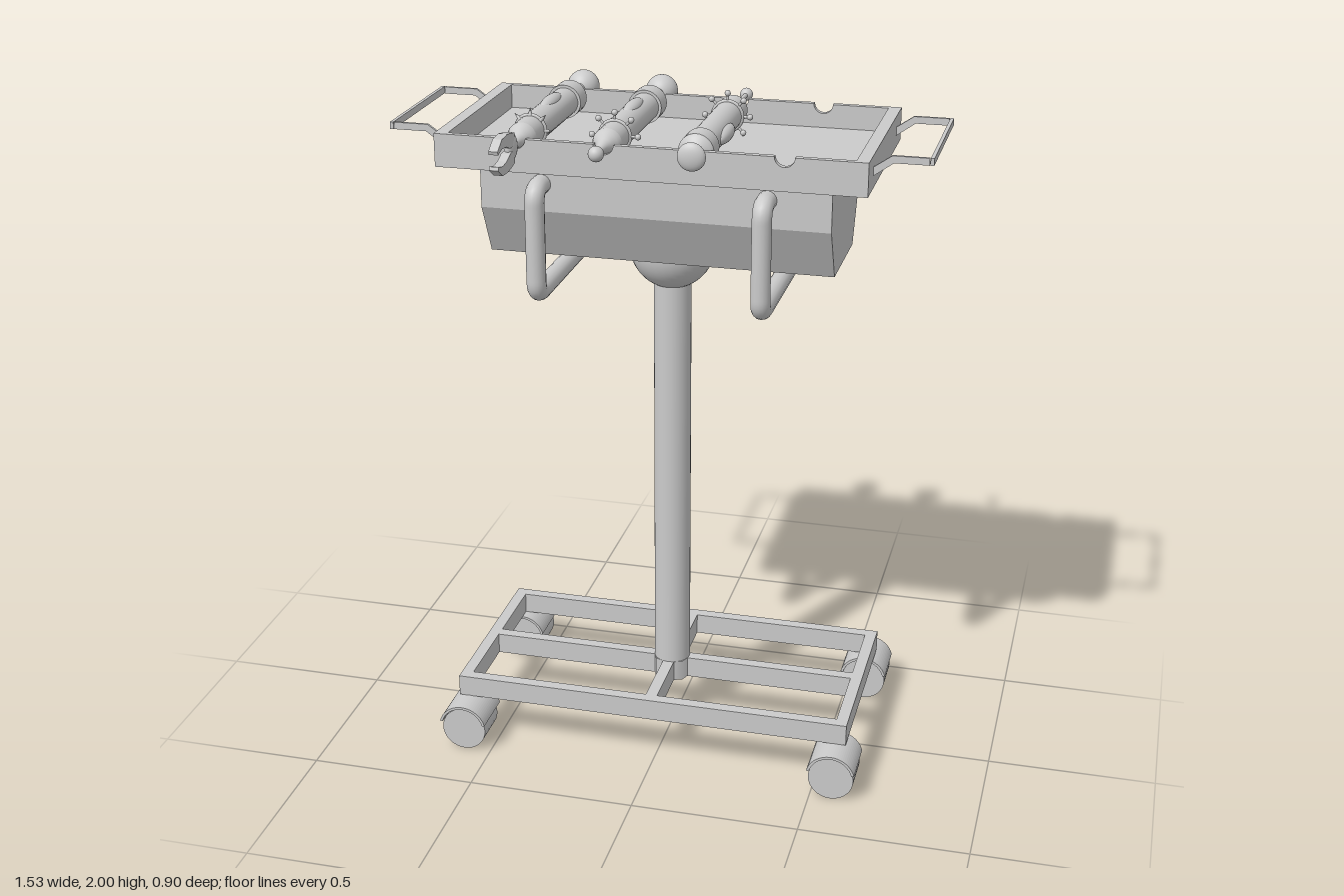
import * as THREE from 'three';

const mat = new THREE.MeshStandardMaterial({ color: 0xcccccc, side: THREE.DoubleSide });
const CX = -0.01, CZ = -0.042; // centre of the stand
const AXIS_Y = 1.925; // height of the tool axes

function add(parent, name, geo, x = 0, y = 0, z = 0) {
  const m = new THREE.Mesh(geo, mat);
  m.name = name;
  m.position.set(x, y, z);
  parent.add(m);
  return m;
}
const group = (parent, name) => {
  const g = new THREE.Group();
  g.name = name;
  parent.add(g);
  return g;
};
const box = (p, n, w, h, d, x, y, z) => add(p, n, new THREE.BoxGeometry(w, h, d), x, y, z);
const polygon = (pts) => new THREE.Shape(pts.map(([a, b]) => new THREE.Vector2(a, b)));
const extrude = (shape, depth) =>
  new THREE.ExtrudeGeometry(shape, { depth, bevelEnabled: false, curveSegments: 16 }).translate(0, 0, -depth / 2);

// Rectangular base frame with a cross of inner rails
function buildBase(root) {
  const g = group(root, 'baseFrame');
  g.position.set(CX, 0.183, CZ);
  const h = 0.065, t = 0.035;
  for (const s of [-1, 1]) {
    box(g, 'longRail', 1.21, h, t, 0, 0, s * (0.298 - t / 2));
    box(g, 'endRail', t, h, 0.56, s * (0.605 - t / 2), 0, 0);
  }
  box(g, 'middleRail', 1.16, h, t, 0, 0, 0);
  box(g, 'crossRail', t, h, 0.55, 0, 0, 0);
  add(g, 'hub', new THREE.CylinderGeometry(0.06, 0.06, h, 8));
}

// Roller wheel under a curved fender
function buildCaster(root, sx, sz) {
  const g = group(root, 'caster');
  g.position.set(CX + sx * 0.573, 0, CZ + sz * 0.3);
  add(g, 'wheel', new THREE.CylinderGeometry(0.068, 0.068, 0.12, 32).rotateX(Math.PI / 2), 0, 0.068, sz * 0.001);
  const arc = new THREE.Shape();
  arc.absarc(0, 0, 0.074, 0.25, Math.PI - 0.25, false);
  arc.absarc(0, 0, 0.066, Math.PI - 0.25, 0.25, true);
  add(g, 'fender', extrude(arc, 0.15), 0, 0.077, 0);
}

// Housing under the tray, with a trough-shaped section
function buildBody(root) {
  const section = polygon([[-0.225, 1.84], [-0.225, 1.71], [-0.15, 1.56], [0.15, 1.56], [0.225, 1.71], [0.225, 1.84]]);
  add(root, 'housing', extrude(section, 1).rotateY(Math.PI / 2), CX, 0, CZ);
  add(root, 'column', new THREE.CylinderGeometry(0.055, 0.055, 1.3, 32), CX, 0.815, CZ);
  add(root, 'columnDome', new THREE.SphereGeometry(0.124, 32, 16, 0, Math.PI * 2, Math.PI / 2, Math.PI / 2), CX, 1.565, CZ);
}

// Tray with half-round rests cut into the long walls
function buildTray(root) {
  const g = group(root, 'tray');
  g.position.set(CX, 0, CZ);
  const wall = new THREE.Shape();
  wall.moveTo(-0.606, 1.84);
  wall.lineTo(0.606, 1.84);
  wall.lineTo(0.606, 1.935);
  for (const x of [0.38, 0.13, -0.12, -0.37]) {
    wall.lineTo(x + 0.028, 1.935);
    wall.absarc(x, 1.935, 0.028, 0, Math.PI, true);
  }
  wall.lineTo(-0.606, 1.935);
  wall.closePath();
  for (const s of [-1, 1]) {
    add(g, 'longWall', extrude(wall, 0.018), 0, 0, s * 0.289);
    box(g, 'endWall', 0.036, 0.095, 0.562, s * 0.588, 1.8875, 0);
  }
  box(g, 'floor', 1.14, 0.025, 0.562, 0, 1.853, 0);

  // Thin cranked handle at each end
  const arm = [[0.6, 1.872], [0.66, 1.915], [0.755, 1.915], [0.755, 1.935], [0.655, 1.935], [0.6, 1.897]];
  for (const s of [-1, 1]) {
    const h = group(g, 'endHandle');
    h.rotation.y = s < 0 ? Math.PI : 0;
    for (const z of [-0.209, 0.209]) add(h, 'handleArm', extrude(polygon(arm), 0.009), 0, 0, z);
    box(h, 'handleBar', 0.01, 0.02, 0.427, 0.762, 1.925, 0);
  }
}

// Round tube bent under the housing
function buildLoop(root, x) {
  const corners = [[0.215, 1.79], [0.29, 1.79], [0.29, 1.487], [-0.29, 1.487], [-0.29, 1.79], [-0.215, 1.79]]
    .map(([z, y]) => new THREE.Vector3(0, y, z));
  const path = new THREE.CurvePath();
  let from = corners[0];
  for (let i = 1; i < corners.length - 1; i++) {
    const c = corners[i];
    const toward = (p) => c.clone().add(p.clone().sub(c).setLength(0.04));
    const a = toward(corners[i - 1]), b = toward(corners[i + 1]);
    path.add(new THREE.LineCurve3(from, a));
    path.add(new THREE.QuadraticBezierCurve3(a, c, b));
    from = b;
  }
  path.add(new THREE.LineCurve3(from, corners[corners.length - 1]));
  add(root, 'loopHandle', new THREE.TubeGeometry(path, 160, 0.028, 16), x, 0, CZ);
}

// Handheld tool lying along z: body, button, collar with studs
function buildTool(root, x, o) {
  const g = group(root, 'tool');
  g.position.set(x, AXIS_Y, -0.02);
  if (o.reversed) g.rotation.y = Math.PI;
  const lathe = (name, pts) =>
    add(g, name, new THREE.LatheGeometry(pts.map(([r, z]) => new THREE.Vector2(r, z)), 32).rotateX(Math.PI / 2));

  lathe('body', [[0.042, -0.19], [0.042, 0.22]]);
  lathe('noseCone', [[0.042, 0.22], [0.036, 0.24], [0.022, 0.255], [0.014, 0.28], [o.tipRadius, 0.31], [o.tipRadius, o.tip]]);
  lathe('endCap', [[0.042, -0.18], [0.05, -0.18]]);
  lathe('endCap', [[0.05, -0.18], [0.05, -0.245]]);
  lathe('endCap', o.reversed
    ? [[0.05, -0.245], [0.042, -0.256], [0.022, -0.265], [0.015, -0.275], [0.015, -0.3]]
    : [[0.05, -0.245], [0.042, -0.262], [0.022, -0.28], [0.017, -0.3], [0.017, -0.36]]);

  // Knob at the back end
  if (o.reversed) add(g, 'knob', new THREE.SphereGeometry(0.04, 24, 16).scale(1, 1, 0.45), 0, 0, -0.298);
  else add(g, 'knob', new THREE.SphereGeometry(0.048, 32, 20), 0, 0, -0.383);

  // Oval button, on top or on the side
  const button = new THREE.SphereGeometry(1, 24, 16);
  if (o.reversed) add(g, 'button', button.scale(0.022, 0.022, 0.085), -0.036, 0, -0.05);
  else add(g, 'button', button.scale(0.022, 0.02, 0.085), 0, 0.032, -0.05);

  // Collar with radial studs
  const collar = group(g, 'collar');
  collar.position.z = 0.142;
  add(collar, 'ring', new THREE.TorusGeometry(0.043, 0.006, 8, 32));
  for (let i = 0; i < 8; i++) {
    const stud = group(collar, 'stud');
    stud.rotation.z = (i * Math.PI) / 4;
    if (o.spikes) {
      add(stud, 'spike', new THREE.ConeGeometry(0.009, 0.026, 8), 0, 0.052, 0);
    } else {
      add(stud, 'pin', new THREE.CylinderGeometry(0.004, 0.004, 0.03, 8), 0, 0.052, 0);
      add(stud, 'ball', new THREE.SphereGeometry(0.009, 12, 8), 0, 0.066, 0);
    }
  }

  // Claw or ball at the nose
  if (o.claw) {
    add(g, 'clawHub', new THREE.SphereGeometry(0.04, 24, 16).scale(0.42, 1, 0.8), 0, 0, 0.32);
    const jaw = [[0.32, 0.005], [0.325, 0.042], [0.38, 0.052], [0.43, 0.05], [0.468, 0.026],
      [0.465, 0.016], [0.43, 0.024], [0.395, 0.02], [0.365, 0.008]];
    for (const s of [-1, 1]) {
      const geo = extrude(polygon(jaw.map(([z, y]) => [z, s * y])), 0.026).rotateY(-Math.PI / 2);
      add(g, 'clawJaw', geo);
    }
  } else {
    add(g, 'noseBall', new THREE.SphereGeometry(o.ball, 24, 16), 0, 0, o.tip);
  }
}

export function createModel() {
  const root = new THREE.Group();
  root.name = 'toolCart';
  buildBase(root);
  for (const sx of [-1, 1]) for (const sz of [-1, 1]) buildCaster(root, sx, sz);
  buildBody(root);
  buildTray(root);
  buildLoop(root, -0.332);
  buildLoop(root, 0.31);
  buildTool(root, -0.378, { tip: 0.32, tipRadius: 0.012, claw: true, spikes: true });
  buildTool(root, -0.134, { tip: 0.333, tipRadius: 0.008, ball: 0.022 });
  buildTool(root, 0.121, { tip: 0.4, tipRadius: 0.007, ball: 0.019, reversed: true });
  return root;
}
